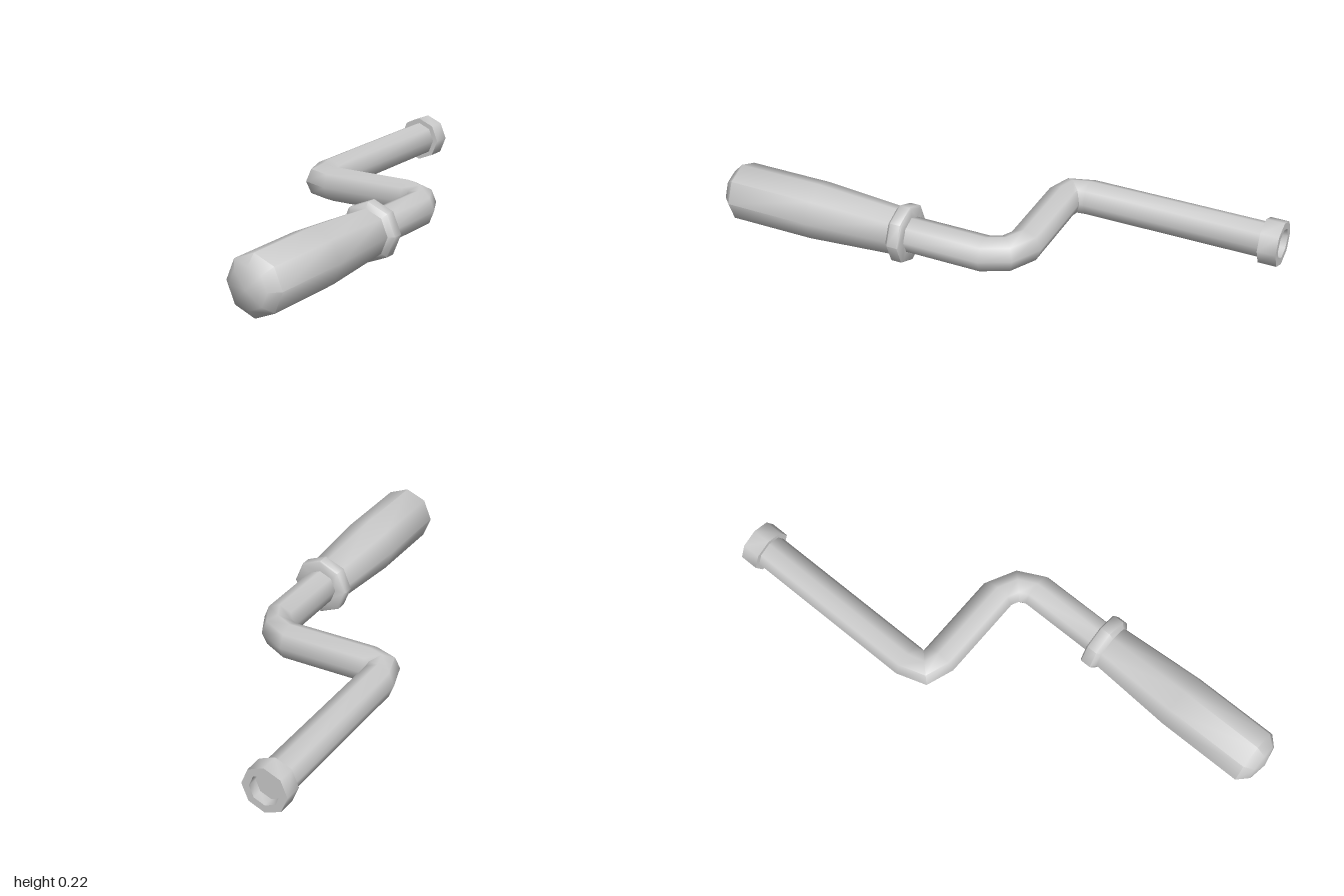
import * as THREE from 'three';
import { toCreasedNormals } from 'three/addons/utils/BufferGeometryUtils.js';

const SIDES = 8, AXIS_Y = 0.112, CREASE = 0.95;
const material = new THREE.MeshStandardMaterial({ color: 0xcccccc });

// Eight-sided turned part lying along z; profile is [radius, z]
function turned(name, x, profile) {
  const points = profile.map(([r, z]) => new THREE.Vector2(r, z));
  const geometry = new THREE.LatheGeometry(points, SIDES).rotateX(Math.PI / 2);
  const mesh = new THREE.Mesh(toCreasedNormals(geometry, CREASE), material);
  mesh.name = name;
  mesh.position.set(x, AXIS_Y, 0);
  return mesh;
}

// Octagonal rod swept in the horizontal plane; sections are [x, z, heading in degrees, half width]
function bentRod(name, sections, radius) {
  const positions = [], index = [];
  sections.forEach(([x, z, heading, width], i) => {
    const h = THREE.MathUtils.degToRad(heading);
    for (let j = 0; j < SIDES; j++) {
      const t = (j / SIDES) * Math.PI * 2;
      const side = Math.cos(t) * width;
      positions.push(x + side * Math.cos(h), radius * Math.sin(t), z - side * Math.sin(h));
      if (i === sections.length - 1) continue;
      const a = i * SIDES + j, b = i * SIDES + (j + 1) % SIDES;
      index.push(a, b, a + SIDES, b, b + SIDES, a + SIDES);
    }
  });
  const geometry = new THREE.BufferGeometry();
  geometry.setAttribute('position', new THREE.Float32BufferAttribute(positions, 3));
  geometry.setIndex(index);
  const mesh = new THREE.Mesh(toCreasedNormals(geometry, CREASE), material);
  mesh.name = name;
  mesh.position.y = AXIS_Y;
  return mesh;
}

export function createModel() {
  const group = new THREE.Group();
  group.name = 'handCrank';

  // Rod with two opposite right-angle bends
  group.add(bentRod('crankRod', [
    [-0.271, -0.95, 0, 0.067],
    [-0.271, -0.25, 0, 0.067],
    [-0.253, -0.183, 45, 0.068],
    [-0.195, -0.164, 90, 0.067],
    [0.14, -0.164, 90, 0.067],
    [0.212, -0.127, 45, 0.062],
    [0.245, -0.06, 0, 0.067],
    [0.245, 0.26, 0, 0.067],
  ], 0.068));

  // Recessed socket at the back end
  group.add(turned('socket', -0.271, [
    [0, -0.96], [0.058, -0.96], [0.058, -1], [0.087, -1], [0.087, -0.93], [0.06, -0.93],
  ]));

  // Grip with a collar, tapered neck and domed end
  group.add(turned('handleGrip', 0.245, [
    [0.06, 0.235], [0.106, 0.235], [0.111, 0.24], [0.111, 0.28], [0.09, 0.295],
    [0.111, 0.62], [0.111, 0.95], [0.075, 0.985], [0, 1],
  ]));

  return group;
}
